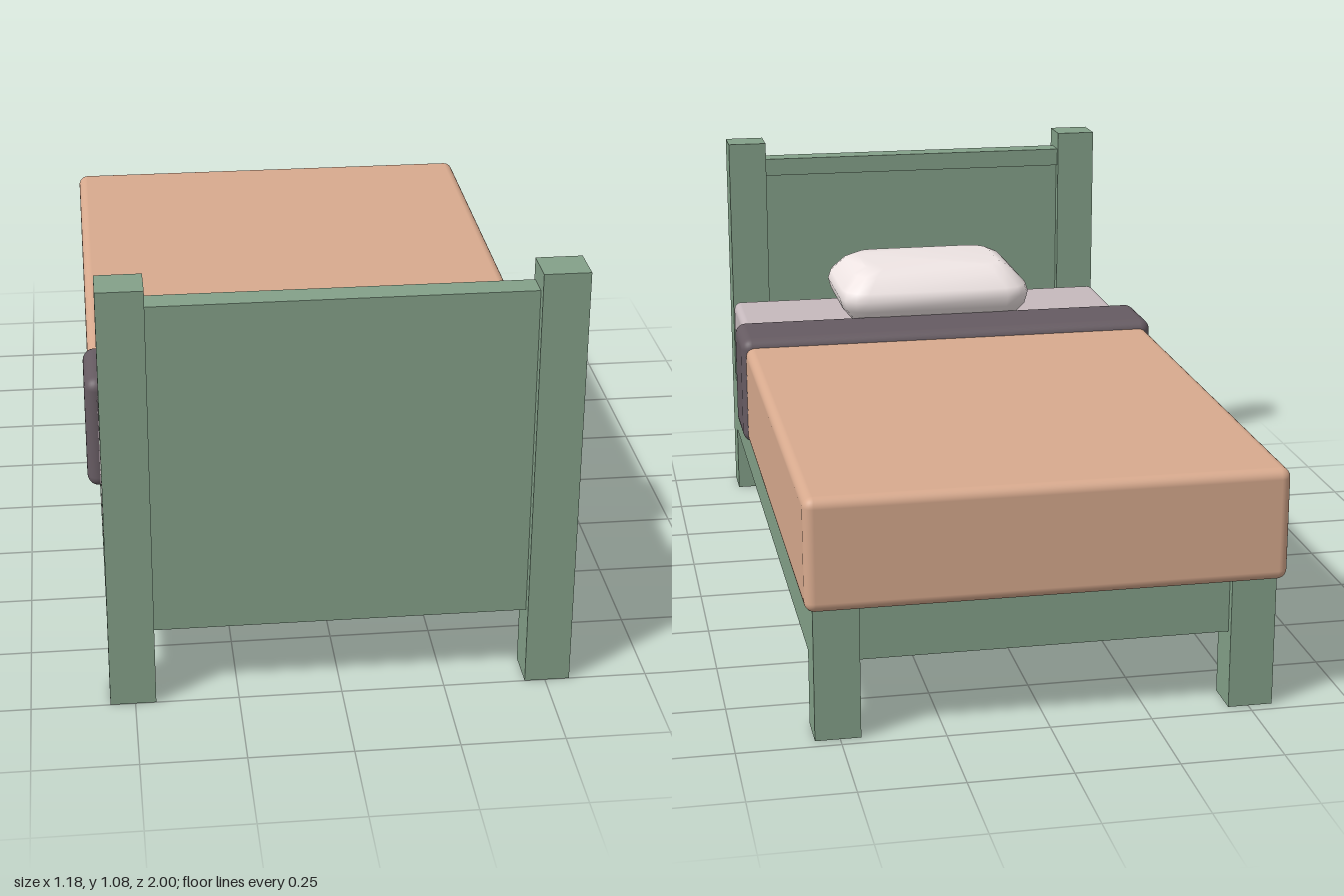
import * as THREE from 'three';
import { RoundedBoxGeometry } from 'three/addons/geometries/RoundedBoxGeometry.js';

const mat = (color) => new THREE.MeshStandardMaterial({ color });

// Pillow: chamfered-rectangle rings stacked upward, capped at both ends.
function pillowGeometry(rings) {
  const pos = [], index = [], steps = 3, n = 4 * (steps + 1);
  for (const [y, hx, hz, r] of rings) {
    for (let c = 0; c < 4; c++) {
      const sx = c === 0 || c === 3 ? 1 : -1, sz = c < 2 ? 1 : -1;
      for (let s = 0; s <= steps; s++) {
        const a = (c + s / steps) * Math.PI / 2;
        pos.push(sx * (hx - r) + r * Math.cos(a), y, sz * (hz - r) + r * Math.sin(a));
      }
    }
  }
  for (let k = 0; k < rings.length - 1; k++) {
    for (let i = 0; i < n; i++) {
      const j = (i + 1) % n, a = k * n + i, b = k * n + j;
      index.push(a, a + n, b, b, a + n, b + n);
    }
  }
  const top = (rings.length - 1) * n;
  for (let i = 1; i < n - 1; i++) {
    index.push(0, i, i + 1);
    index.push(top, top + i + 1, top + i);
  }
  const g = new THREE.BufferGeometry();
  g.setAttribute('position', new THREE.Float32BufferAttribute(pos, 3));
  g.setIndex(index);
  g.computeVertexNormals();
  return g;
}

export function createModel() {
  const model = new THREE.Group();
  model.name = 'bed';
  const green = mat(0x84a189);

  const add = (name, geometry, material, x, y, z) => {
    const m = new THREE.Mesh(geometry, material);
    m.name = name;
    m.position.set(x, y, z);
    model.add(m);
    return m;
  };
  // Boxes given by their minimum and maximum on each axis
  const box = (name, x0, x1, y0, y1, z0, z1, material = green, radius = 0) => {
    const size = [x1 - x0, y1 - y0, z1 - z0];
    const g = radius ? new RoundedBoxGeometry(...size, 4, radius) : new THREE.BoxGeometry(...size);
    return add(name, g, material, (x0 + x1) / 2, (y0 + y1) / 2, (z0 + z1) / 2);
  };

  // Posts, legs and side rails, mirrored
  for (const [side, s] of [['left', 1], ['right', -1]]) {
    const span = (a, b) => (s > 0 ? [a, b] : [-b, -a]);
    box(side + 'HeadPost', ...span(0.45, 0.56), 0, 1.08, 0.9, 1);
    box(side + 'FootLeg', ...span(0.45, 0.56), 0, 0.355, -0.97, -0.87);
    box(side + 'SideRail', ...span(0.47, 0.56), 0.19, 0.355, -0.87, 0.9);
  }

  // Headboard with a thicker top rail and bottom rail
  box('headboardPanel', -0.45, 0.45, 0.355, 0.98, 0.925, 0.975);
  box('headboardTopRail', -0.45, 0.45, 0.98, 1.03, 0.91, 0.975);
  box('headboardBottomRail', -0.45, 0.45, 0.187, 0.355, 0.91, 0.975);

  // Foot rail and mattress deck
  box('footRail', -0.45, 0.45, 0.19, 0.355, -0.95, -0.88);
  box('deck', -0.47, 0.47, 0.28, 0.35, -0.88, 0.91);

  // Bedding
  box('mattress', -0.56, 0.56, 0.36, 0.6, -0.96, 0.89, mat(0xc6b9bd), 0.02);
  box('blanket', -0.58, 0.58, 0.33, 0.61, -1, 0.33, mat(0xd8aa8e), 0.025);
  box('foldedBlanketBand', -0.592, 0.592, 0.33, 0.633, 0.305, 0.522, mat(0x665b62), 0.03);

  // Pillow rings: height, half width, half depth, corner radius
  add('pillow', pillowGeometry([
    [0.597, 0.215, 0.15, 0.05],
    [0.61, 0.24, 0.173, 0.06],
    [0.65, 0.272, 0.2, 0.07],
    [0.68, 0.28, 0.208, 0.075],
    [0.705, 0.272, 0.2, 0.07],
    [0.745, 0.235, 0.163, 0.06],
    [0.763, 0.2, 0.13, 0.05],
  ]), mat(0xefe5e4), 0, 0, 0.682);

  return model;
}
